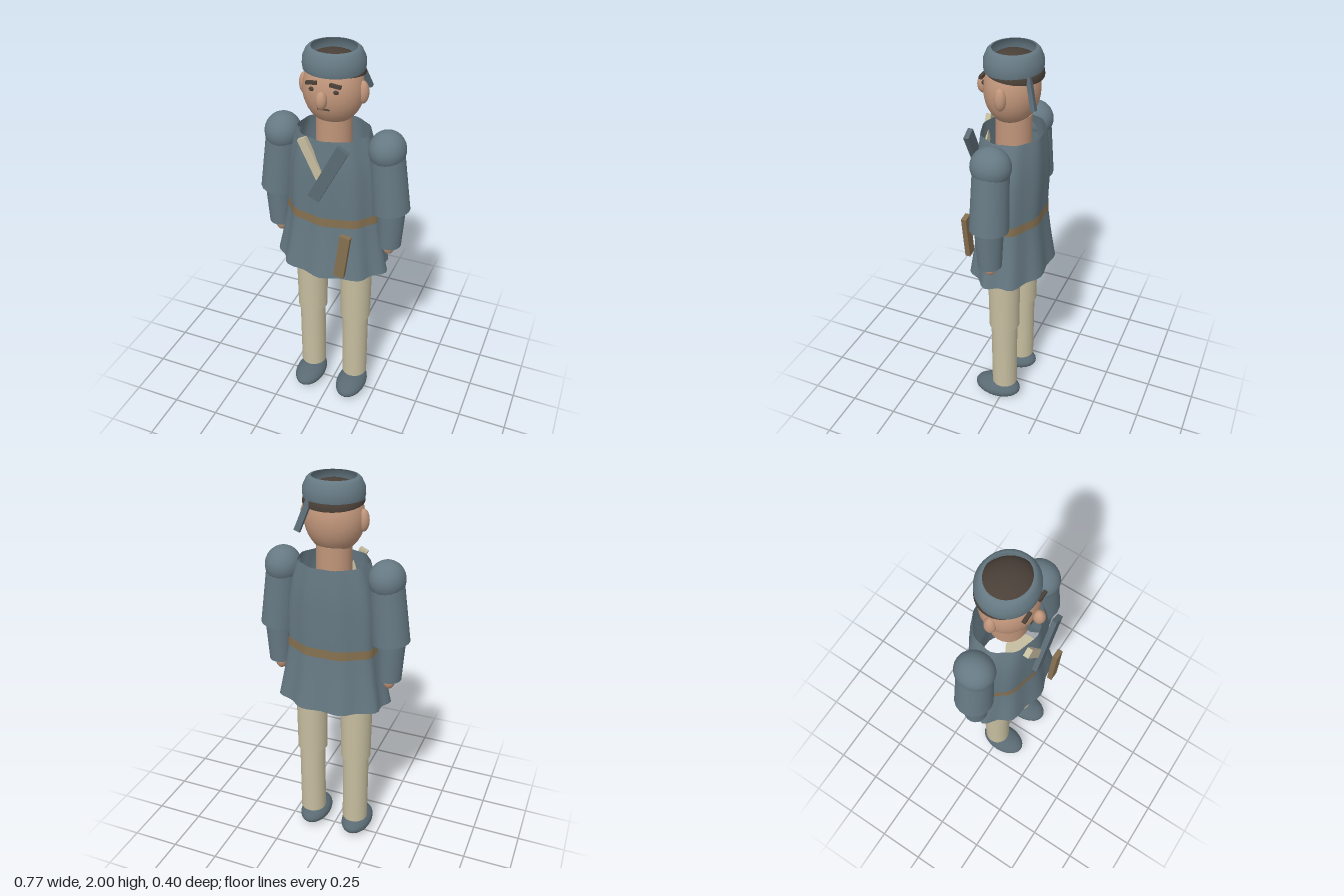
import * as THREE from 'three';

const material = (name, color, side = THREE.FrontSide) => {
  const m = new THREE.MeshStandardMaterial({ color, side });
  m.name = name;
  return m;
};

export function createModel() {
  const group = new THREE.Group();
  const slate = material('slate cloth', 0x667983, THREE.DoubleSide);
  const darkSlate = material('dark slate', 0x5a6a73);
  const cream = material('cream cloth', 0xc6bd9f);
  const skin = material('skin', 0xc0957a);
  const leather = material('brown leather', 0x857050, THREE.DoubleSide);
  const hairMat = material('dark hair', 0x4a4038, THREE.DoubleSide);
  const CZ = -0.012; // depth of the body axis

  const add = (name, geometry, mat, x = 0, y = 0, z = 0, tilt = 0) => {
    const mesh = new THREE.Mesh(geometry, mat);
    mesh.name = name;
    mesh.position.set(x, y, z);
    mesh.rotation.z = tilt;
    group.add(mesh);
    return mesh;
  };
  const ellipsoid = (rx, ry, rz) => new THREE.SphereGeometry(1, 28, 18).scale(rx, ry, rz);
  const box = (w, h, d) => new THREE.BoxGeometry(w, h, d);

  // Straight limb between two points
  const limb = (name, a, b, r0, r1, mat, sides = 24) => {
    const p = new THREE.Vector3(...a), q = new THREE.Vector3(...b);
    const dir = p.clone().sub(q);
    const mesh = add(name, new THREE.CylinderGeometry(r0, r1, dir.length(), sides), mat);
    mesh.position.copy(p.add(q).multiplyScalar(0.5));
    mesh.quaternion.setFromUnitVectors(new THREE.Vector3(0, 1, 0), dir.normalize());
    return mesh;
  };

  // Open cloth tube through pleated oval sections [y, rx, rz, pleat depth]
  const pleatedTube = (rows, grow = 1) => {
    const n = 54, pos = [], index = [];
    rows.forEach(([y, rx, rz, amp], r) => {
      for (let i = 0; i < n; i++) {
        const a = (i / n) * Math.PI * 2;
        const k = grow * (1 + amp * Math.cos(9 * a));
        pos.push(Math.sin(a) * rx * k, y, CZ + Math.cos(a) * rz * k);
        if (r < rows.length - 1) {
          const p = r * n + i, q = r * n + (i + 1) % n;
          index.push(p, p + n, q, q, p + n, q + n);
        }
      }
    });
    const g = new THREE.BufferGeometry();
    g.setAttribute('position', new THREE.Float32BufferAttribute(pos, 3));
    g.setIndex(index);
    g.computeVertexNormals();
    return g;
  };

  // Tunic and belt
  const tunic = [
    [1.61, 0.172, 0.148, 0.02], [1.52, 0.2, 0.156, 0.022], [1.4, 0.225, 0.162, 0.025],
    [1.205, 0.232, 0.154, 0.025], [1.16, 0.233, 0.156, 0.028],
    [1.02, 0.256, 0.172, 0.04], [0.875, 0.285, 0.192, 0.052],
  ];
  add('tunic', pleatedTube(tunic), slate);
  add('belt', pleatedTube(tunic.slice(3, 5), 1.015), leather);
  add('beltSash', box(0.052, 0.24, 0.026), leather, 0.122, 1.037, 0.185, -0.13);
  add('underCollar', box(0.042, 0.23, 0.026), cream, -0.042, 1.51, 0.148, 0.45);
  add('outerLapel', box(0.06, 0.315, 0.025), darkSlate, 0.042, 1.463, 0.166, -0.48);

  // Neck and head
  limb('neck', [0, 1.69, CZ], [0, 1.54, CZ], 0.084, 0.086, skin);
  add('head', ellipsoid(0.143, 0.165, 0.128), skin, 0, 1.81, -0.005);
  add('nose', ellipsoid(0.026, 0.042, 0.027), skin, 0, 1.805, 0.138);
  add('mouth', box(0.055, 0.007, 0.009), hairMat, 0, 1.756, 0.114);

  // Hair cap with an open headband around it
  const hair = add('hair', new THREE.SphereGeometry(1, 36, 12, 0, Math.PI * 2, 0, Math.PI / 2)
    .scale(0.143, 0.095, 0.132), hairMat, 0, 1.888, -0.017);
  hair.rotation.x = -0.12;
  const bandProfile = [[0.14, 1.9], [0.144, 1.92], [0.142, 1.955], [0.127, 1.987], [0.115, 1.998], [0.104, 2]]
    .map(([r, y]) => new THREE.Vector2(r, y));
  add('headband', new THREE.LatheGeometry(bandProfile, 36).scale(1, 1, 0.93), slate, 0, 0, CZ);
  const tail = limb('headbandTail', [0.075, 1.915, -0.11], [0.12, 1.775, -0.155], 1, 1, darkSlate);
  tail.geometry = box(0.028, 0.155, 0.02);

  for (const s of [-1, 1]) {
    const side = s > 0 ? 'left' : 'right';
    // Face details
    add(side + 'Ear', ellipsoid(0.028, 0.053, 0.028), skin, s * 0.139, 1.81, -0.006);
    add(side + 'Eye', ellipsoid(0.013, 0.01, 0.008), hairMat, s * 0.057, 1.84, 0.109);
    add(side + 'Eyebrow', box(0.052, 0.014, 0.016), hairMat, s * 0.056, 1.871, 0.113, -s * 0.1);

    // Arm
    add(side + 'Shoulder', ellipsoid(0.088, 0.092, 0.095), slate, s * 0.262, 1.546, CZ);
    limb(side + 'UpperSleeve', [s * 0.261, 1.53, CZ], [s * 0.293, 1.234, CZ], 0.084, 0.093, slate, 18);
    limb(side + 'LowerSleeve', [s * 0.295, 1.23, CZ], [s * 0.293, 1.03, CZ], 0.069, 0.058, slate, 18);
    add(side + 'Hand', ellipsoid(0.032, 0.053, 0.034), skin, s * 0.291, 1.025, CZ);

    // Leg
    limb(side + 'TrouserThigh', [s * 0.123, 0.98, CZ], [s * 0.123, 0.525, CZ], 0.083, 0.079, cream);
    limb(side + 'TrouserShin', [s * 0.124, 0.56, CZ], [s * 0.124, 0.113, CZ], 0.069, 0.068, cream);
    add(side + 'Shoe', ellipsoid(0.081, 0.051, 0.129), darkSlate, s * 0.124, 0.053, 0.03);
  }
  return group;
}
